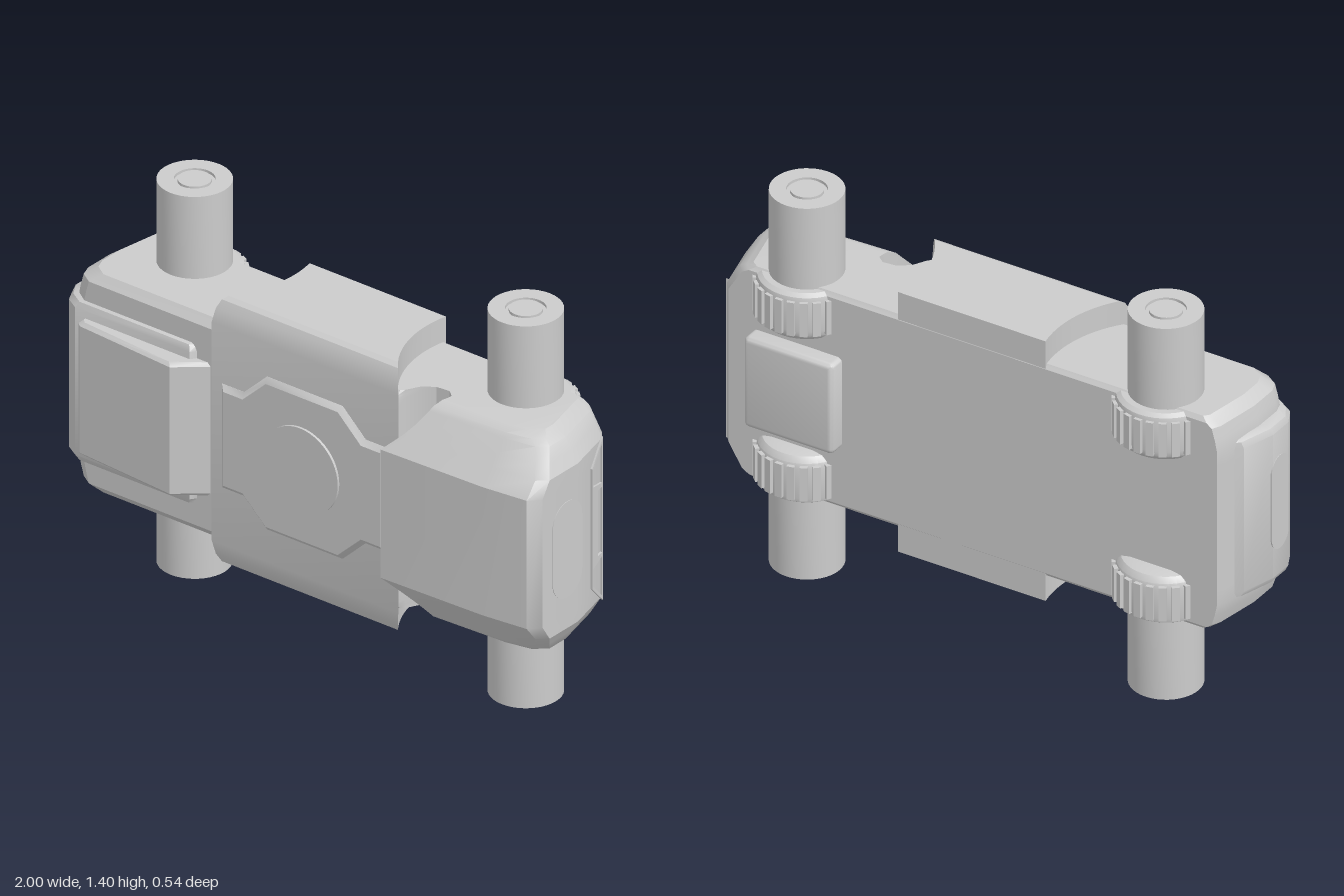
import * as THREE from 'three';
import { toCreasedNormals } from 'three/addons/utils/BufferGeometryUtils.js';
import { RoundedBoxGeometry } from 'three/addons/geometries/RoundedBoxGeometry.js';

const MID = 0.7; // mirror height of the whole model
const AXLE_Z = -0.1;
const AXLES = { rear: -0.67, front: 0.69 };
const material = new THREE.MeshStandardMaterial({ color: 0xcccccc });

function mesh(name, geometry, crease = 0.5) {
  const m = new THREE.Mesh(toCreasedNormals(geometry, crease), material);
  m.name = name;
  return m;
}

// Piecewise linear lookup in a list of [key, value] pairs
function ramp(d, table) {
  if (d <= table[0][0]) return table[0][1];
  for (let i = 1; i < table.length; i++) {
    const [a, va] = table[i - 1], [b, vb] = table[i];
    if (d <= b) return va + (vb - va) * (d - a) / (b - a);
  }
  return table[table.length - 1][1];
}

// Skins x-z outlines stacked along y; outline(d) depends on the distance from MID
function stack(outline, distances) {
  const levels = [...distances].reverse().map(d => -d).concat(distances);
  const loops = levels.map(l => outline(Math.abs(l)).map(([x, z]) => new THREE.Vector3(x, MID + l, z)));
  const n = loops[0].length, pos = [];
  const tri = (...vs) => vs.forEach(v => pos.push(v.x, v.y, v.z));
  for (let k = 0; k + 1 < loops.length; k++) {
    for (let i = 0; i < n; i++) {
      const j = (i + 1) % n, lo = loops[k], hi = loops[k + 1];
      tri(lo[i], hi[i], lo[j]);
      tri(lo[j], hi[i], hi[j]);
    }
  }
  const bottom = loops[0], top = loops[loops.length - 1];
  const caps = THREE.ShapeUtils.triangulateShape(bottom.map(v => new THREE.Vector2(v.x, v.z)), []);
  for (const [a, b, c] of caps) {
    tri(bottom[a], bottom[b], bottom[c]);
    tri(top[c], top[b], top[a]);
  }
  const g = new THREE.BufferGeometry();
  g.setAttribute('position', new THREE.Float32BufferAttribute(pos, 3));
  return g;
}

// Main body with the faceted nose and the hooked slot behind it
function bodyOutline(d) {
  const top = ramp(d, [[0.235, 0.268], [0.385, 0.15], [0.4, 0.12]]);
  const end = ramp(d, [[0.29, 1], [0.37, 0.95], [0.4, 0.9]]);
  const back = ramp(d, [[0.385, -0.19], [0.4, -0.178]]);
  const deck = ramp(d, [[0.37, 0.18], [0.4, 0.155]]);
  const tail = ramp(d, [[0.3, -0.93], [0.37, -0.91], [0.4, -0.87]]);
  const hook = [];
  for (let i = 8; i >= 0; i--) {
    const z = 0.08 + (top - 0.08) * i / 8;
    hook.push([0.53 - 4 * (z - 0.08) ** 2, z]);
  }
  return [
    [tail + 0.01, back], [end - 0.07, back], [end - 0.045, -0.16], [end, 0.02],
    [end, Math.min(0.2, top - 0.06)], [end - 0.035, top - 0.03], [0.8, top - 0.012],
    ...hook,
    [0.505, 0.06], [0.455, 0.065], [0.415, 0.095], [0.39, 0.142], [0.378, deck],
    [tail + 0.03, deck], [tail - 0.015, deck - 0.03], [tail - 0.03, deck - 0.07], [tail - 0.03, 0],
    [tail - 0.005, -0.16],
  ];
}

// Wide middle block whose ends are arched around the axles
function saddleOutline(d) {
  const front = ramp(d, [[0.4, 0.183], [0.45, 0.173], [0.48, 0.158], [0.49, 0.14]]);
  const steps = 16, rear = [], fore = [];
  for (let i = 0; i <= steps; i++) {
    const z = -0.189 + (front + 0.189) * i / steps;
    const reach = Math.sqrt(0.41 ** 2 - (z - AXLE_Z) ** 2);
    fore.push([AXLES.front - reach, z]);
    rear.unshift([AXLES.rear + reach, z]);
  }
  return [...fore, ...rear];
}

// Raised cover wrapping over the tail
function tailOutline(d) {
  const e = ramp(d, [[0.27, 0], [0.29, 0.01], [0.3, 0.03]]);
  return [
    [-0.9, -0.15], [-0.43 - e, -0.15], [-0.43 - e, 0.17], [-0.45 - e, 0.2 - e], [-0.92 + e, 0.2 - e],
    [-0.97 + e, 0.17 - e], [-1 + e, 0.11], [-1 + e, 0.02], [-0.965 + e, -0.1],
  ];
}

// Wedge-shaped panel on the tail cover
function panelOutline(d) {
  const e = ramp(d, [[0.232, 0], [0.244, 0.012]]);
  return [
    [-0.89 + e, 0.15], [-0.38 - e, 0.15], [-0.38 - e, 0.18], [-0.48 - e, 0.265 - e],
    [-0.875 + e, 0.234 - e], [-0.89 + e, 0.22 - e],
  ];
}

const polygon = pts => pts.map(([x, y]) => new THREE.Vector2(x, y));

function stadium(w, h) {
  const r = w / 2, s = new THREE.Shape();
  s.absarc(0, h / 2 - r, r, 0, Math.PI);
  s.absarc(0, r - h / 2, r, Math.PI, 2 * Math.PI);
  s.closePath();
  return s;
}

// Slim oval inlay at either end
function endInlay(name, side, z, w) {
  const g = new THREE.ExtrudeGeometry(stadium(w, 0.35), { depth: 0.02, bevelEnabled: false, curveSegments: 16 });
  g.rotateY(side * Math.PI / 2).translate(side * 0.982, MID, z);
  return mesh(name, g);
}

// Three-window frame lying on the sloped nose end
function noseFrame() {
  const shape = new THREE.Shape(polygon([[0.075, -0.22], [0.155, -0.3], [0.155, 0.3], [0.075, 0.22]]));
  shape.holes.push(new THREE.Path(polygon([[0.118, -0.12], [0.118, 0.12], [0.147, 0.12], [0.147, -0.12]])));
  for (const s of [1, -1]) {
    shape.holes.push(new THREE.Path(polygon(
      [[0.083, s * 0.15], [0.083, s * 0.213], [0.147, s * 0.278], [0.147, s * 0.135]])));
  }
  const g = new THREE.ExtrudeGeometry(shape, { depth: 0.014, bevelEnabled: false });
  g.applyMatrix4(new THREE.Matrix4().set(
    -0.25, 0, 1, 0.988,
    0, 1, 0, MID,
    -1, 0, 0, 0,
    0, 0, 0, 1));
  return mesh('noseFrame', g);
}

const lathe = pts => new THREE.LatheGeometry(polygon(pts), 40);

// Axle peg with grooved end, and the ribbed hub beside it
function axleEnd(name, x, side) {
  const group = new THREE.Group();
  group.name = name;
  group.add(mesh('peg', lathe([
    [0.123, 0.38], [0.123, 0.7], [0.067, 0.7], [0.067, 0.69], [0.055, 0.69], [0.055, 0.7], [0, 0.7]])));
  group.add(mesh('hub', lathe([
    [0, 0.215], [0.12, 0.215], [0.145, 0.222], [0.16, 0.24], [0.164, 0.26],
    [0.164, 0.37], [0.16, 0.385], [0.145, 0.395], [0, 0.395]])));
  for (let i = -4; i <= 4; i++) {
    const g = new THREE.BoxGeometry(0.026, 0.125, 0.03);
    g.translate(0, 0.31, -0.16).rotateY(i * 0.25);
    group.add(mesh('rib', g));
  }
  group.position.set(x, MID, AXLE_Z);
  if (side < 0) group.rotation.z = Math.PI;
  return group;
}

export function createModel() {
  const model = new THREE.Group();
  model.name = 'chassis';
  model.add(
    mesh('body', stack(bodyOutline, [0.235, 0.29, 0.33, 0.37, 0.385, 0.4])),
    mesh('saddle', stack(saddleOutline, [0.4, 0.45, 0.48, 0.49])),
    mesh('tailCover', stack(tailOutline, [0.27, 0.29, 0.3])),
    mesh('tailPanel', stack(panelOutline, [0.232, 0.244])),
    endInlay('noseInlay', 1, 0.075, 0.15),
    endInlay('tailInlay', -1, 0.06, 0.1),
    noseFrame(),
  );

  // Stepped plate and disc on the front of the saddle
  const plate = new THREE.Shape(polygon([
    [-0.34, -0.19], [-0.25, -0.19], [-0.155, -0.28], [0.155, -0.28], [0.25, -0.19], [0.34, -0.19],
    [0.34, 0.19], [0.25, 0.19], [0.155, 0.28], [-0.155, 0.28], [-0.25, 0.19], [-0.34, 0.19]]));
  const plateGeometry = new THREE.ExtrudeGeometry(plate, {
    depth: 0.02, bevelThickness: 0.016, bevelSize: 0.018, bevelOffset: -0.018, bevelSegments: 1 });
  model.add(mesh('frontPlate', plateGeometry.translate(0.01, MID, 0.164)));
  const disc = new THREE.CylinderGeometry(0.155, 0.155, 0.03, 48).rotateX(Math.PI / 2);
  model.add(mesh('frontDisc', disc.translate(0.01, MID, 0.194)));

  // Block between the hubs at the back
  const block = new RoundedBoxGeometry(0.34, 0.34, 0.12, 3, 0.02);
  model.add(mesh('backBlock', block.translate(0.67, MID, -0.19)));

  for (const [name, x] of Object.entries(AXLES)) {
    for (const side of [1, -1]) model.add(axleEnd(`${name}Axle${side > 0 ? 'Upper' : 'Lower'}`, x, side));
  }
  return model;
}
